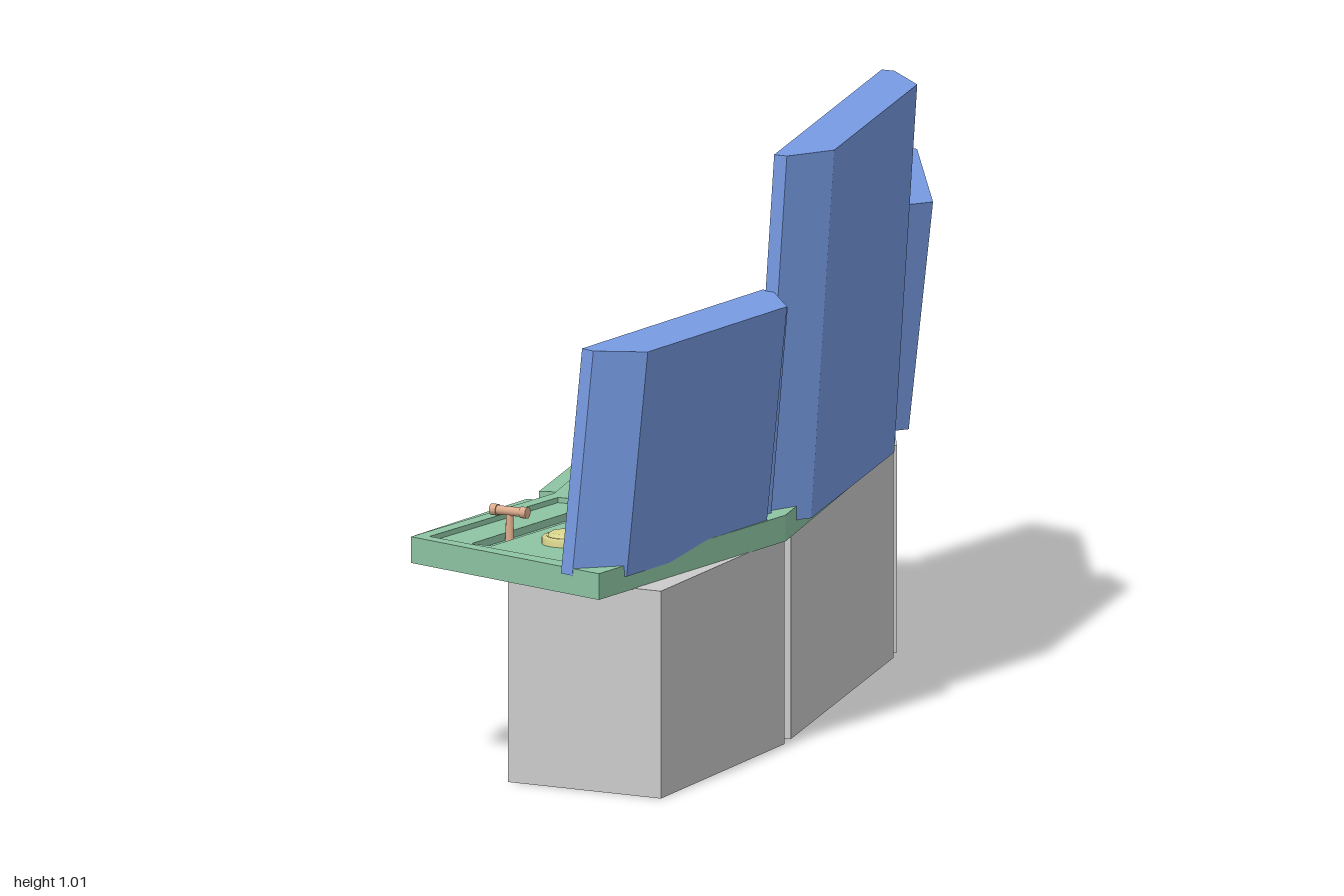
import * as THREE from 'three';

const mat = (color) => new THREE.MeshStandardMaterial({ color });
const GREY = mat(0xcccccc), GREEN = mat(0x8ec5a4), BLUE = mat(0x789ce4), YELLOW = mat(0xdcd890);
const COPPER = mat(0xdcac8c), STEEL = mat(0x6a7ca4), PURPLE = mat(0xb294c6), FRAME = mat(0xa08892);

function add(parent, name, geometry, material, x = 0, y = 0, z = 0) {
  const mesh = new THREE.Mesh(geometry, material);
  mesh.name = name;
  mesh.position.set(x, y, z);
  parent.add(mesh);
  return mesh;
}

const toPath = (Type, pts) => new Type(pts.map(([x, z]) => new THREE.Vector2(x, -z)));

// Vertical prism over a plan outline of [x, z] points, with optional holes
function slab(pts, y0, y1, holes = []) {
  const shape = toPath(THREE.Shape, pts);
  shape.holes = holes.map((h) => toPath(THREE.Path, h));
  return new THREE.ExtrudeGeometry(shape, { depth: y1 - y0, bevelEnabled: false })
    .rotateX(-Math.PI / 2).translate(0, y0, 0);
}

// Turned rectangle in plan: centre, size across, size along, angle of its long side
function rect(cx, cz, w, l, a) {
  const c = Math.cos(a), s = Math.sin(a);
  return [[-w, -l], [w, -l], [w, l], [-w, l]].map(([u, v]) =>
    [cx + (u * c + v * s) / 2, cz + (-u * s + v * c) / 2]);
}

// Upright rectangular frame, w and h outside, inset by m on the sides and mv above and below
function frame(w, h, m, mv, depth) {
  const box = (Type, a, b) => new Type([[-a, -b], [a, -b], [a, b], [-a, b]].map(([x, y]) => new THREE.Vector2(x, y)));
  const shape = box(THREE.Shape, w / 2, h / 2);
  shape.holes.push(box(THREE.Path, w / 2 - m, h / 2 - mv));
  return new THREE.ExtrudeGeometry(shape, { depth, bevelEnabled: false });
}

// Monitor: chamfered housing with a front rim, sunken stepped bezel, display
function monitor(name, o) {
  const g = new THREE.Group();
  g.name = name;
  const w = o.width / 2, cy = o.height / 2;
  add(g, 'housing', slab([[-w, -0.016], [w, -0.016], [w, -0.022], [w - o.chamfer, -o.depth],
    [o.chamfer - w, -o.depth], [-w, -0.022]], 0, o.height), BLUE);
  add(g, 'rim', frame(o.width, o.height, 0.05, 0.03, 0.016), BLUE, 0, cy, -0.016);
  const bw = o.width - 0.1, bh = o.height - 0.06;
  add(g, 'outerBezel', frame(bw, bh, 0.02, 0.02, 0.012), FRAME, 0, cy, -0.016);
  add(g, 'innerBezel', frame(bw - 0.04, bh - 0.04, o.margin, o.margin, 0.008), FRAME, 0, cy, -0.016);
  add(g, 'display', new THREE.BoxGeometry(bw - 0.04 - 2 * o.margin, bh - 0.04 - 2 * o.margin, 0.006),
    mat(o.color), 0, cy, -0.014);
  g.rotation.set(-o.lean, -Math.PI / 2 - o.turn, 0, 'YXZ');
  g.position.set(...o.at);
  return g;
}

// Sliding lever with a capped crossbar, standing in a slot
function lever(x, z, turn) {
  const g = new THREE.Group();
  g.name = 'slideLever';
  add(g, 'stem', new THREE.CylinderGeometry(0.006, 0.008, 0.05, 10), COPPER, 0, 0.403, 0);
  add(g, 'crossbar', new THREE.CylinderGeometry(0.008, 0.008, 0.064, 12).rotateZ(Math.PI / 2), COPPER, 0, 0.43, 0);
  for (const s of [-1, 1]) {
    add(g, 'barCap', new THREE.CylinderGeometry(0.01, 0.01, 0.012, 12).rotateZ(Math.PI / 2), COPPER, s * 0.029, 0.43, 0);
  }
  g.position.set(x, 0, z);
  g.rotation.y = turn;
  return g;
}

function joystick(x, z) {
  const g = new THREE.Group();
  g.name = 'joystick';
  add(g, 'base', new THREE.CylinderGeometry(0.022, 0.027, 0.016, 20), STEEL, 0, 0.397, 0);
  add(g, 'stick', new THREE.CylinderGeometry(0.007, 0.01, 0.06, 12), STEEL, 0.003, 0.425, 0).rotation.z = -0.15;
  add(g, 'knob', new THREE.SphereGeometry(0.018, 16, 12).scale(1, 0.75, 1), STEEL, 0.008, 0.455, 0);
  g.position.set(x, 0, z);
  return g;
}

export function createModel() {
  const model = new THREE.Group();
  model.name = 'controlConsole';
  const TURN = 0.29;

  // Cabinets
  add(model, 'centreCabinet', slab([[0.015, -0.34], [0.25, -0.42], [0.25, 0.33], [0.015, 0.33]], 0, 0.356), GREY);
  add(model, 'rearWingCabinet', slab([[-0.207, -0.81], [0.115, -0.95], [0.245, -0.465], [-0.02, -0.335]], 0, 0.356), GREY);
  add(model, 'frontWingCabinet', slab([[-0.125, 0.815], [0.16, 0.9], [0.25, 0.375], [-0.06, 0.335]], 0, 0.356), GREY);
  add(model, 'cabinetLink', new THREE.BoxGeometry(0.19, 0.354, 0.82), GREY, 0.12, 0.178, -0.02);

  // Countertop with three sunken control panels
  const outline = [[-0.31, -0.77], [0.05, -0.975], [0.25, -0.41], [0.26, 0.41], [0.075, 0.995],
    [-0.31, 0.745], [-0.165, 0.31], [-0.175, -0.31]];
  const panels = [
    [[-0.28, -0.755], [0.03, -0.915], [0.175, -0.425], [-0.16, -0.345]],
    [[-0.145, -0.28], [0.19, -0.35], [0.19, 0.345], [-0.145, 0.275]],
    [[-0.28, 0.735], [0.035, 0.925], [0.175, 0.425], [-0.15, 0.345]],
  ];
  const slots = [
    [rect(-0.09, -0.61, 0.04, 0.32, 0.36), rect(0, -0.64, 0.04, 0.35, 0.34)],
    [],
    [rect(-0.135, 0.57, 0.04, 0.36, -0.3)],
  ];
  add(model, 'counterBase', slab(outline, 0.355, 0.378), GREEN);
  add(model, 'counterRim', slab(outline, 0.378, 0.4, panels), GREEN);
  panels.forEach((p, i) => add(model, 'controlPanel', slab(p, 0.378, 0.391, slots[i]), GREEN));

  // Front grab rails
  add(model, 'centreRail', new THREE.BoxGeometry(0.035, 0.025, 0.5), GREEN, -0.188, 0.378, 0);
  add(model, 'rearWingRail', slab(rect(-0.249, -0.52, 0.03, 0.38, TURN), 0.366, 0.391), GREEN);
  add(model, 'frontWingRail', slab(rect(-0.249, 0.51, 0.03, 0.38, -TURN), 0.366, 0.391), GREEN);

  // Seam details
  for (let i = 0; i < 18; i++) {
    const t = i / 17;
    add(model, 'ventStud', new THREE.BoxGeometry(0.006, 0.005, 0.008), STEEL, 0.22 * t, 0.401, -0.348 - 0.04 * t);
  }
  for (const x of [0.03, 0.13]) {
    add(model, 'seamStrip', new THREE.BoxGeometry(0.06, 0.004, 0.008), GREEN, x, 0.401, 0.355 + 0.18 * x).rotation.y = -0.18;
  }

  // Monitors
  model.add(
    monitor('centreMonitor', { width: 0.785, height: 0.635, depth: 0.083, chamfer: 0.09, margin: 0.055,
      color: 0x5c4a70, lean: 0.063, turn: 0, at: [0.195, 0.38, -0.004] }),
    monitor('rearWingMonitor', { width: 0.614, height: 0.392, depth: 0.09, chamfer: 0.07, margin: 0.035,
      color: 0x716a68, lean: 0.105, turn: -TURN, at: [0.107, 0.39, -0.687] }),
    monitor('frontWingMonitor', { width: 0.61, height: 0.392, depth: 0.088, chamfer: 0.07, margin: 0.035,
      color: 0xa86472, lean: 0.105, turn: TURN, at: [0.087, 0.39, 0.662] }),
  );
  for (const s of [-1, 1]) {
    add(model, 'monitorPost', new THREE.CylinderGeometry(0.016, 0.016, 0.36, 12), BLUE, 0.23, 0.575, s * 0.397).rotation.z = -0.08;
  }

  // Push buttons
  for (const [x, z] of [[-0.05, -0.09], [-0.05, 0.08], [-0.005, 0.525], [-0.05, 0.695]]) {
    const profile = [[0.044, 0.388], [0.044, 0.402], [0.041, 0.405], [0.036, 0.405], [0.034, 0.402], [0.033, 0.408], [0.028, 0.411], [0, 0.411]];
    add(model, 'pushButton', new THREE.LatheGeometry(profile.map(([r, y]) => new THREE.Vector2(r, y)), 32), YELLOW, x, 0, z);
  }

  // Levers and joysticks
  model.add(lever(-0.115, -0.70, 0.33), lever(0.012, -0.61, 0.33), lever(-0.165, 0.635, -TURN));
  model.add(joystick(-0.045, -0.23), joystick(-0.055, 0.225));

  // Bellows hoses beneath the two seams
  const bellows = [new THREE.Vector2(0, 0.02)];
  for (let i = 0; i < 12; i++) {
    const y = 0.02 + i * 0.028;
    for (const [r, d] of [[0.026, 0], [0.036, 0.007], [0.036, 0.018], [0.026, 0.025]]) bellows.push(new THREE.Vector2(r, y + d));
  }
  for (const z of [-0.405, 0.355]) add(model, 'bellowsHose', new THREE.LatheGeometry(bellows, 20), PURPLE, -0.088, 0, z);

  // Drain pipe with elbow and wall flange
  const pipe = new THREE.Group();
  pipe.name = 'drainPipe';
  add(pipe, 'downPipe', new THREE.CylinderGeometry(0.006, 0.006, 0.15, 10), PURPLE, 0, 0.285, 0);
  add(pipe, 'elbow', new THREE.SphereGeometry(0.015, 14, 10), PURPLE, 0, 0.21, 0);
  add(pipe, 'wallPipe', new THREE.CylinderGeometry(0.01, 0.01, 0.04, 12).rotateZ(Math.PI / 2), PURPLE, 0.02, 0.208, 0);
  add(pipe, 'flange', new THREE.CylinderGeometry(0.032, 0.032, 0.012, 20).rotateZ(Math.PI / 2), PURPLE, 0.033, 0.21, 0);
  pipe.position.set(-0.165, 0, -0.6);
  pipe.rotation.y = TURN;
  model.add(pipe);

  // Junction box with two conduits
  const junction = new THREE.Group();
  junction.name = 'junctionBox';
  add(junction, 'box', new THREE.BoxGeometry(0.05, 0.12, 0.11), PURPLE, 0, 0.295, 0);
  for (const s of [-1, 1]) {
    add(junction, 'conduit', new THREE.CylinderGeometry(0.007, 0.007, 0.2, 10), PURPLE, -0.008, 0.15, s * 0.022);
  }
  junction.position.set(-0.108, 0, 0.59);
  junction.rotation.y = -TURN;
  model.add(junction);

  return model;
}
